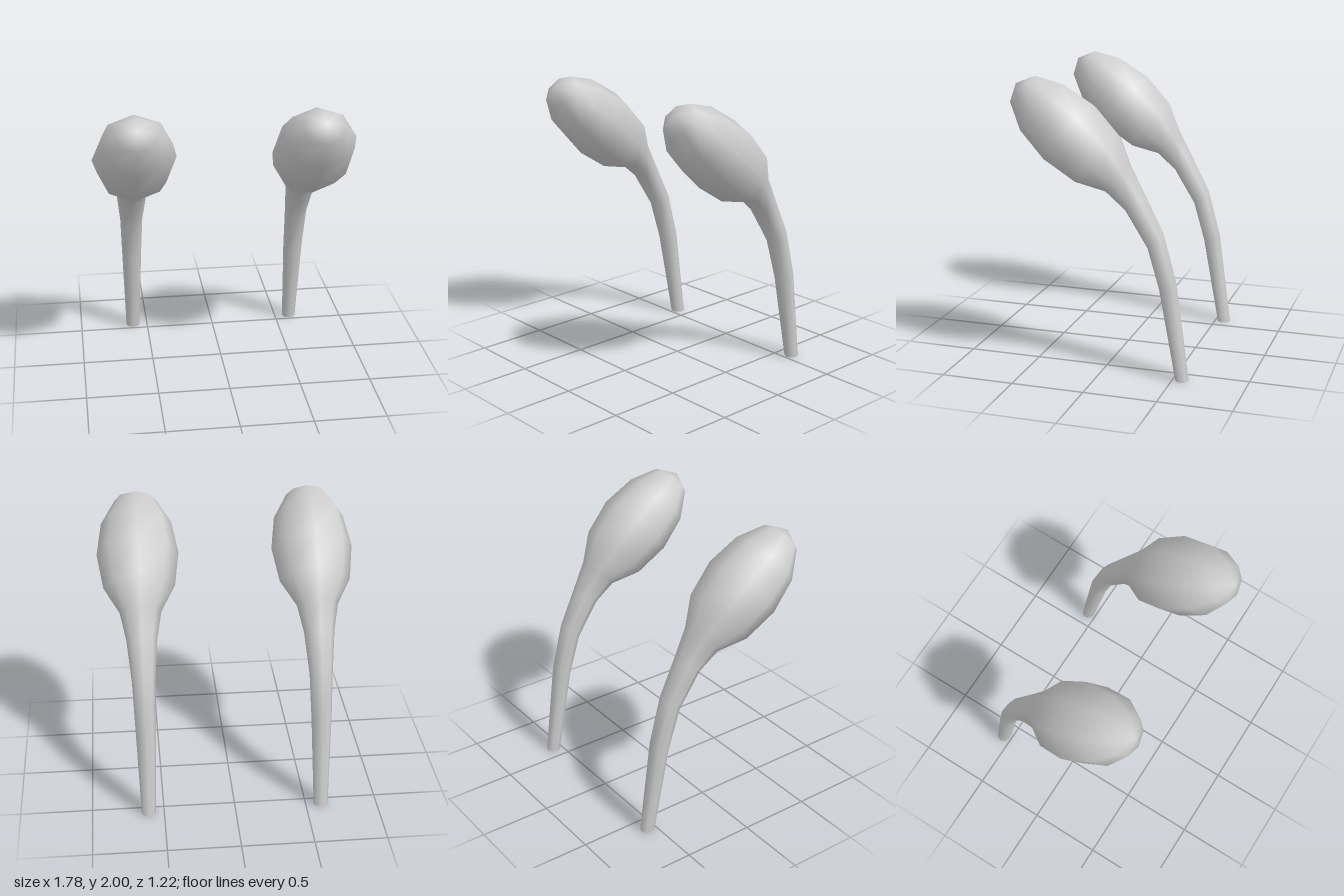
import * as THREE from 'three';

const SIDES = 8;

// Cross-sections from foot to tip: [back/top z, y, front/bottom z, y, half width in x]
const SECTIONS = [
  // curved stem
  [-0.61, 0, -0.515, 0, 0.05],
  [-0.52, 0.67, -0.4, 0.62, 0.07],
  [-0.43, 1.0, -0.32, 0.9, 0.08],
  [-0.3, 1.25, -0.17, 1.15, 0.105],
  // egg-shaped head
  [-0.2, 1.44, -0.04, 1.26, 0.142],
  [-0.12, 1.64, 0.16, 1.305, 0.245],
  [0.05, 1.83, 0.37, 1.44, 0.283],
  [0.26, 1.955, 0.53, 1.62, 0.245],
  [0.45, 2.0, 0.61, 1.81, 0.142],
];
const TIP = [0, 1.945, 0.585];

function ringPoints([z0, y0, z1, y1, w]) {
  const points = [];
  for (let i = 0; i < SIDES; i++) {
    const a = (i / SIDES) * Math.PI * 2;
    const c = Math.cos(a) / 2;
    points.push([w * Math.sin(a), (y0 + y1) / 2 + c * (y0 - y1), (z0 + z1) / 2 + c * (z0 - z1)]);
  }
  return points;
}

function makeGeometry(points, index) {
  const geo = new THREE.BufferGeometry();
  geo.setAttribute('position', new THREE.Float32BufferAttribute(points.flat(), 3));
  geo.setIndex(index);
  geo.computeVertexNormals();
  return geo;
}

// Smooth skin through all sections, closed at the tip
function bodyGeometry() {
  const points = [...SECTIONS.flatMap(ringPoints), TIP];
  const index = [];
  const last = SECTIONS.length - 1;
  for (let r = 0; r <= last; r++) {
    for (let i = 0; i < SIDES; i++) {
      const a = r * SIDES + i;
      const b = r * SIDES + ((i + 1) % SIDES);
      if (r === last) index.push(a, points.length - 1, b);
      else index.push(a, a + SIDES, b, b, a + SIDES, b + SIDES);
    }
  }
  return makeGeometry(points, index);
}

// Flat underside of the stem
function footGeometry() {
  const index = [];
  for (let i = 1; i < SIDES - 1; i++) index.push(0, i, i + 1);
  return makeGeometry(ringPoints(SECTIONS[0]), index);
}

export function createModel() {
  const model = new THREE.Group();
  const grey = new THREE.MeshStandardMaterial({ color: 0xcccccc });
  grey.name = 'light grey';
  const body = bodyGeometry();
  const foot = footGeometry();

  for (const [side, x] of [['left', 0.607], ['right', -0.607]]) {
    const stalk = new THREE.Group();
    stalk.name = side + 'Stalk';
    const skin = new THREE.Mesh(body, grey);
    skin.name = 'stemAndHead';
    const cap = new THREE.Mesh(foot, grey);
    cap.name = 'stemFoot';
    stalk.add(skin, cap);
    stalk.position.x = x;
    model.add(stalk);
  }
  return model;
}
